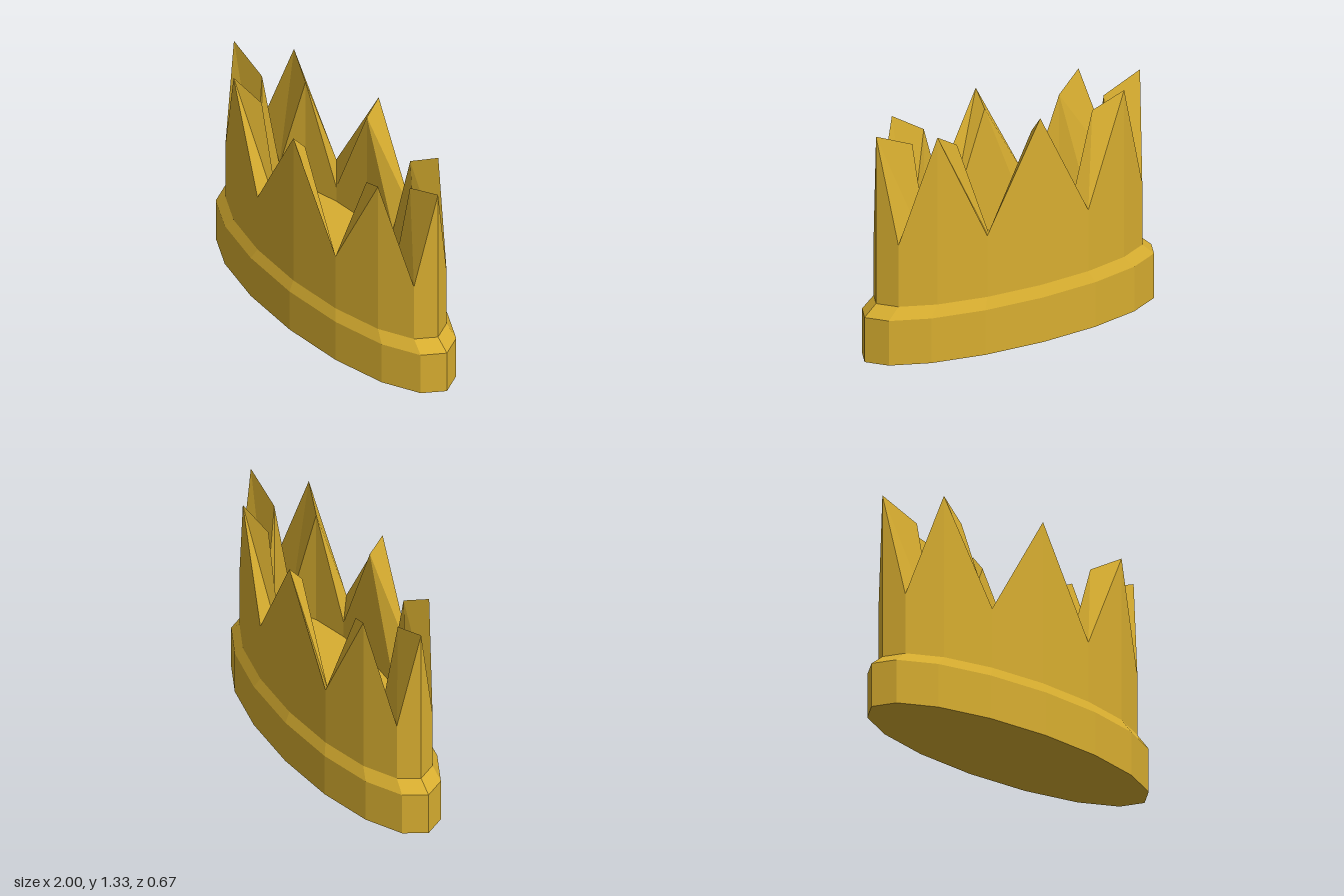
import * as THREE from 'three';

const SIDES = 16;
const DEPTH = 1 / 3; // the crown is a flattened ellipse

// Ring of points; odd corners may sit at a different height (valleys between spikes)
function ring(radius, peakY, valleyY = peakY) {
  return Array.from({ length: SIDES }, (_, i) => {
    const a = (i / SIDES) * Math.PI * 2;
    return new THREE.Vector3(radius * Math.sin(a), i % 2 ? valleyY : peakY, radius * Math.cos(a) * DEPTH);
  });
}

// Faces joining consecutive rings, wound so that rising rings face outwards
function skin(rings) {
  const pos = [];
  const tri = (a, b, c) => {
    if (a.distanceTo(b) < 1e-6 || b.distanceTo(c) < 1e-6 || c.distanceTo(a) < 1e-6) return;
    for (const p of [a, b, c]) pos.push(p.x, p.y, p.z);
  };
  for (let k = 0; k < rings.length - 1; k++) {
    const lo = rings[k], hi = rings[k + 1];
    for (let i = 0; i < SIDES; i++) {
      const j = (i + 1) % SIDES;
      tri(lo[i], lo[j], hi[j]);
      tri(lo[i], hi[j], hi[i]);
    }
  }
  const geo = new THREE.BufferGeometry();
  geo.setAttribute('position', new THREE.Float32BufferAttribute(pos, 3));
  geo.computeVertexNormals();
  return geo;
}

export function createModel() {
  const gold = new THREE.MeshStandardMaterial({ color: 0xd8ae30, flatShading: true });
  gold.name = 'gold';
  const crown = new THREE.Group();
  crown.name = 'crown';

  const add = (name, ...rings) => {
    const mesh = new THREE.Mesh(skin(rings), gold);
    mesh.name = name;
    crown.add(mesh);
  };

  // Profile from the underside, up the outside, over the spikes and down inside
  const bottomEdge = ring(1, 0);
  const bandTop = ring(1, 0.267);
  const wallFoot = ring(0.92, 0.333);
  const outerTips = ring(0.92, 1.333, 0.7);
  const innerTips = ring(0.667, 1.233, 0.6);
  const floorEdge = ring(0.667, 0.5);

  add('underside', ring(0, 0), bottomEdge);
  add('baseBand', bottomEdge, bandTop, wallFoot);
  add('spikedWall', wallFoot, outerTips);
  add('spikeRim', outerTips, innerTips);
  add('innerWall', innerTips, floorEdge);
  add('innerFloor', floorEdge, ring(0, 0.5));

  return crown;
}
